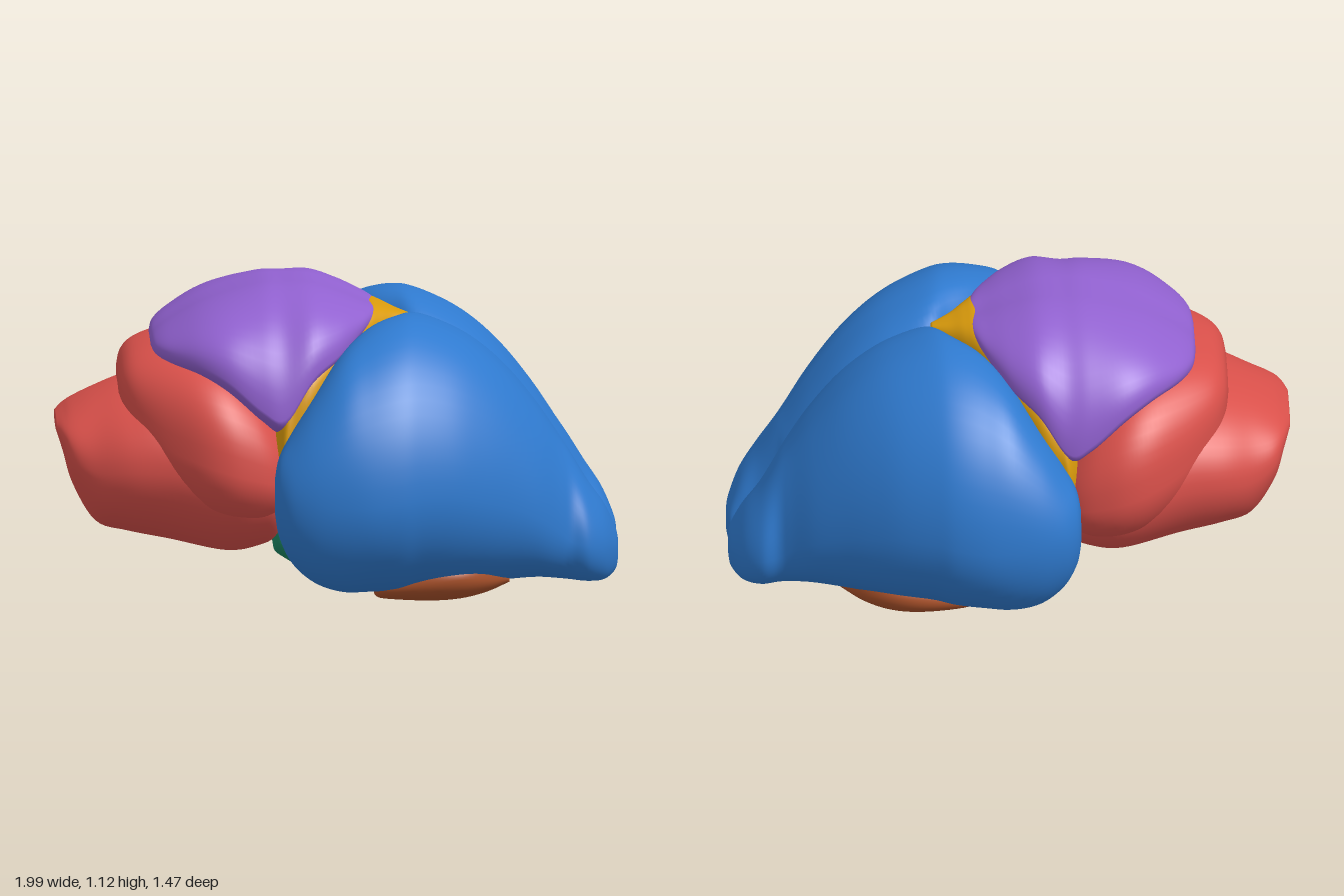
import * as THREE from 'three';

const mat = (name, color) => {
  const m = new THREE.MeshStandardMaterial({ color });
  m.name = name;
  return m;
};

// Lofts smooth rings along x. Each key is [x, zInner, zMid, zOuter, yLow, yWide, yHigh].
// nTop, nLow and nInner set how square each part of the ring is.
function loft(keys, { side = 1, nTop = 2, nLow = 2, nInner = 0, groove = 0 } = {}) {
  const steps = (keys.length - 1) * 6, ring = 56;
  const pos = [], idx = [];
  const tri = (a, b, c) => (side > 0 ? idx.push(a, b, c) : idx.push(a, c, b));
  const at = (t) => {
    const i = Math.min(Math.floor(t), keys.length - 2), f = t - i;
    const k = (j) => keys[Math.max(0, Math.min(keys.length - 1, j))];
    return keys[0].map((_, c) => {
      const [p0, p1, p2, p3] = [k(i - 1)[c], k(i)[c], k(i + 1)[c], k(i + 2)[c]];
      const m1 = (p2 - p0) / 2, m2 = (p3 - p1) / 2;
      return p1 + f * (m1 + f * (3 * (p2 - p1) - 2 * m1 - m2 + f * (2 * (p1 - p2) + m1 + m2)));
    });
  };
  for (let i = 0; i <= steps; i++) {
    const [x, zi, zm, zo, yl, yw, yh] = at((i / steps) * (keys.length - 1));
    for (let j = 0; j < ring; j++) {
      const a = (j / ring) * Math.PI * 2, c = Math.cos(a), s = Math.sin(a);
      const n = c < 0 && nInner ? nInner : s > 0 ? nTop : nLow;
      const u = Math.abs(c) ** (2 / n), v = Math.abs(s) ** (2 / n);
      const z = c > 0 ? zm + (zo - zm) * u : zm - (zm - zi) * u;
      let y = s > 0 ? yw + (yh - yw) * v : yw - (yw - yl) * v;
      if (s > 0) y -= groove * Math.exp(-((z / 0.06) ** 2));
      pos.push(x, y, z * side);
    }
  }
  for (let i = 0; i < steps; i++) {
    for (let j = 0; j < ring; j++) {
      const a = i * ring + j, b = i * ring + ((j + 1) % ring);
      tri(a, a + ring, b);
      tri(b, a + ring, b + ring);
    }
  }
  // End caps
  for (const [k, base] of [[keys[0], 0], [keys[keys.length - 1], steps * ring]]) {
    const centre = pos.length / 3;
    pos.push(k[0], k[5], k[2] * side);
    for (let j = 0; j < ring; j++) {
      const a = base + j, b = base + ((j + 1) % ring);
      if (base === 0) tri(centre, a, b); else tri(centre, b, a);
    }
  }
  const g = new THREE.BufferGeometry();
  g.setAttribute('position', new THREE.Float32BufferAttribute(pos, 3));
  g.setIndex(idx);
  g.computeVertexNormals();
  return g;
}

// Midline parts: keys are [x, halfWidth, yLow, yWide, yHigh]
const midline = (keys, opts) => loft(keys.map(([x, w, l, m, h]) => [x, -w, 0, w, l, m, h]), opts);

export function createModel() {
  const model = new THREE.Group();
  const blue = mat('blue', 0x2f7acf), purple = mat('purple', 0x9161d0), red = mat('red', 0xd9504a);
  const amber = mat('amber', 0xd99a0c), green = mat('green', 0x1b8763), brown = mat('rust brown', 0xa9512a);
  const add = (name, geo, m) => {
    const mesh = new THREE.Mesh(geo, m);
    mesh.name = name;
    model.add(mesh);
  };

  for (const [label, side] of [['left', 1], ['right', -1]]) {
    // Forebrain hemispheres, necking into a rounded bulb at the tip
    add(label + 'Hemisphere', loft([
      [-0.24, 0.5, 0.55, 0.59, 0.38, 0.45, 0.52],
      [-0.225, 0.46, 0.54, 0.63, 0.3, 0.45, 0.59],
      [-0.18, 0.42, 0.5, 0.675, 0.2, 0.45, 0.67],
      [-0.1, 0.36, 0.46, 0.71, 0.12, 0.45, 0.79],
      [0, 0.24, 0.38, 0.73, 0.07, 0.45, 0.92],
      [0.1, 0.1, 0.28, 0.735, 0.05, 0.45, 0.99],
      [0.2, -0.03, 0.23, 0.72, 0.045, 0.46, 1.02],
      [0.28, -0.17, 0.2, 0.69, 0.05, 0.47, 1.015],
      [0.4, -0.2, 0.19, 0.635, 0.05, 0.46, 0.965],
      [0.5, -0.2, 0.18, 0.575, 0.055, 0.43, 0.9],
      [0.6, -0.2, 0.17, 0.505, 0.06, 0.39, 0.805],
      [0.7, -0.15, 0.15, 0.43, 0.06, 0.33, 0.68],
      [0.78, -0.1, 0.14, 0.355, 0.05, 0.26, 0.56],
      [0.82, -0.05, 0.14, 0.328, 0.045, 0.22, 0.5],
      [0.88, -0.01, 0.15, 0.32, 0.04, 0.2, 0.4],
      [0.94, 0.01, 0.13, 0.265, 0.04, 0.18, 0.31],
      [0.98, 0.025, 0.1, 0.18, 0.065, 0.16, 0.22],
      [0.99, 0.06, 0.09, 0.13, 0.1, 0.14, 0.18],
    ], { side, nInner: 2.5 }), blue);

    // Underside patches
    add(label + 'LowerPatch', loft([
      [0.12, 0.2, 0.28, 0.34, 0.03, 0.055, 0.08],
      [0.15, 0.1, 0.28, 0.42, 0.02, 0.075, 0.12],
      [0.3, -0.01, 0.3, 0.47, 0.015, 0.105, 0.2],
      [0.42, -0.01, 0.3, 0.465, 0.02, 0.12, 0.2],
      [0.52, -0.01, 0.26, 0.4, 0.035, 0.105, 0.2],
      [0.6, 0.05, 0.2, 0.29, 0.055, 0.08, 0.1],
    ], { side }), brown);
  }

  // Strip joining the two underside patches
  add('lowerBridge', midline([
    [0.2, 0.2, 0.04, 0.08, 0.12],
    [0.4, 0.23, 0.035, 0.08, 0.12],
    [0.49, 0.2, 0.042, 0.08, 0.12],
    [0.55, 0.1, 0.06, 0.08, 0.11],
  ], { nLow: 3 }), brown);

  // Domed roof over the middle
  add('roofDome', midline([
    [-0.665, 0.1, 0.87, 0.9, 0.92],
    [-0.65, 0.2, 0.84, 0.905, 0.945],
    [-0.6, 0.295, 0.82, 0.905, 0.985],
    [-0.5, 0.405, 0.8, 0.895, 1.045],
    [-0.4, 0.47, 0.74, 0.85, 1.085],
    [-0.28, 0.5, 0.64, 0.75, 1.118],
    [-0.2, 0.498, 0.61, 0.72, 1.122],
    [-0.1, 0.458, 0.77, 0.86, 1.118],
    [0, 0.368, 0.86, 0.925, 1.085],
    [0.08, 0.235, 0.93, 0.98, 1.05],
    [0.12, 0.14, 0.97, 1, 1.033],
    [0.135, 0.07, 0.99, 1.005, 1.022],
  ], { nTop: 2.2, groove: 0.008 }), purple);

  // Core seen in the gaps between roof, hemispheres and hind lobes
  add('innerCore', midline([
    [-0.25, 0.4, 0.4, 0.55, 0.68],
    [-0.21, 0.497, 0.3, 0.58, 0.8],
    [-0.17, 0.492, 0.3, 0.64, 0.9],
    [-0.1, 0.466, 0.3, 0.74, 0.96],
    [0, 0.36, 0.3, 0.84, 1],
    [0.1, 0.205, 0.4, 0.92, 1.028],
    [0.15, 0.14, 0.5, 0.92, 1.02],
    [0.2, 0.08, 0.7, 0.92, 1.0],
    [0.27, 0.02, 0.9, 0.94, 0.975],
  ], { nTop: 3 }), amber);

  // Upper hind lobe
  add('upperHindLobe', midline([
    [-0.78, 0.13, 0.7, 0.75, 0.79],
    [-0.765, 0.22, 0.62, 0.73, 0.84],
    [-0.72, 0.31, 0.5, 0.68, 0.88],
    [-0.62, 0.42, 0.36, 0.6, 0.91],
    [-0.5, 0.51, 0.26, 0.56, 0.915],
    [-0.4, 0.54, 0.22, 0.53, 0.89],
    [-0.3, 0.525, 0.22, 0.5, 0.82],
    [-0.23, 0.49, 0.26, 0.48, 0.73],
    [-0.2, 0.44, 0.32, 0.48, 0.67],
    [-0.14, 0.25, 0.4, 0.5, 0.6],
  ], { nTop: 2.7 }), red);

  // Lower hind stem with a slanted rear end
  add('lowerHindStem', midline([
    [-1, 0.12, 0.58, 0.6, 0.625],
    [-0.975, 0.21, 0.5, 0.58, 0.645],
    [-0.94, 0.28, 0.38, 0.53, 0.67],
    [-0.86, 0.335, 0.245, 0.49, 0.71],
    [-0.75, 0.39, 0.21, 0.5, 0.75],
    [-0.6, 0.43, 0.18, 0.5, 0.78],
    [-0.4, 0.48, 0.14, 0.46, 0.7],
    [-0.28, 0.46, 0.16, 0.43, 0.65],
    [-0.22, 0.42, 0.2, 0.42, 0.6],
    [-0.19, 0.33, 0.3, 0.42, 0.55],
    [-0.14, 0.2, 0.36, 0.42, 0.5],
  ], { nTop: 2.2, nLow: 1.9 }), red);

  // Flattened belly
  add('belly', midline([
    [-0.23, 0.18, 0.15, 0.2, 0.28],
    [-0.21, 0.23, 0.13, 0.23, 0.34],
    [-0.1, 0.25, 0.065, 0.2, 0.34],
    [0, 0.255, 0.035, 0.17, 0.3],
    [0.1, 0.255, 0.015, 0.1, 0.25],
    [0.25, 0.245, 0, 0.045, 0.15],
    [0.34, 0.19, 0.006, 0.035, 0.1],
    [0.38, 0.08, 0.02, 0.035, 0.06],
  ], { nLow: 3 }), green);

  return model;
}
